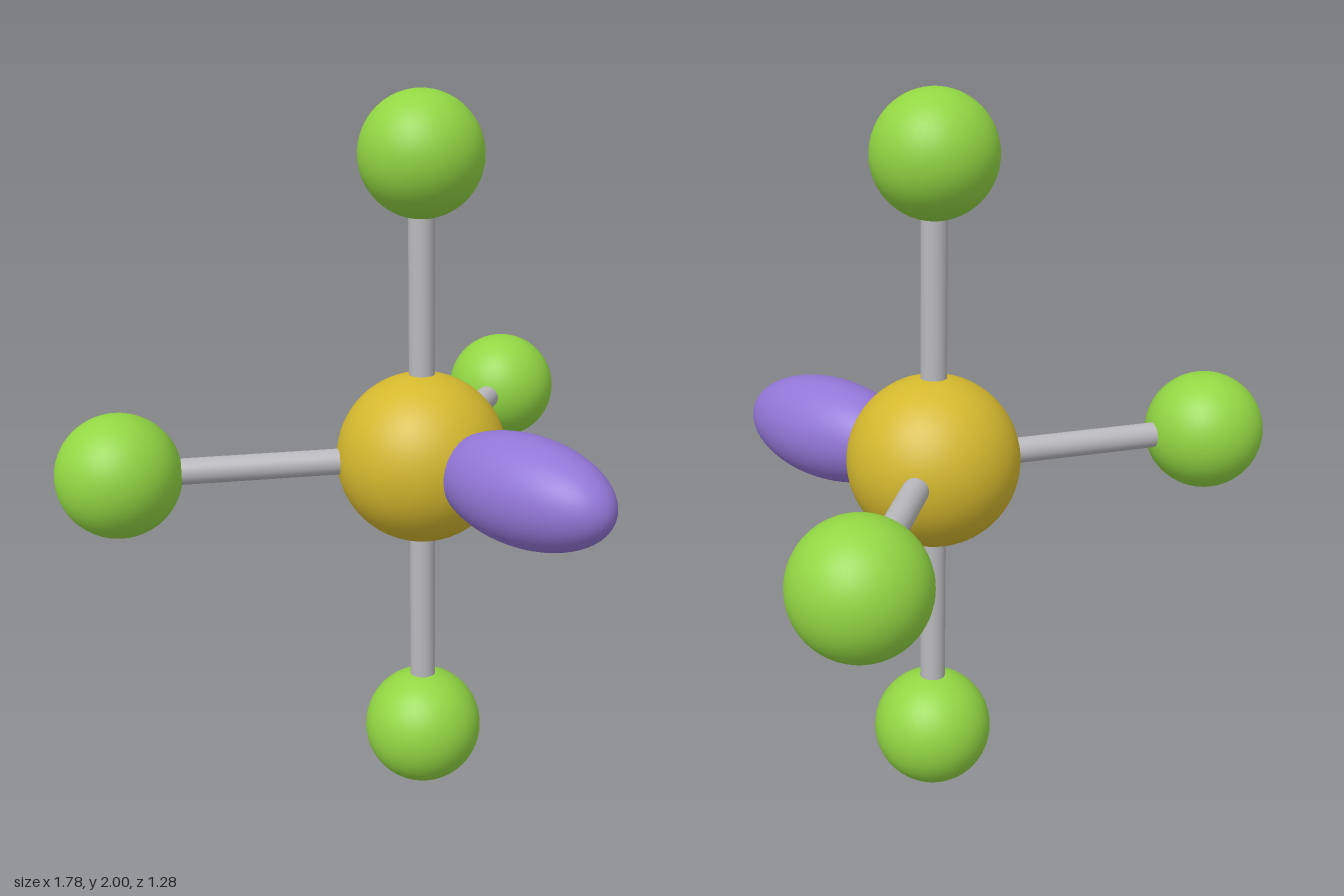
import * as THREE from 'three';

const material = (name, color) => {
  const m = new THREE.MeshStandardMaterial({ color });
  m.name = name;
  return m;
};

export function createModel() {
  const gold = material('gold', 0xd4b82e);
  const green = material('green', 0x92d643);
  const purple = material('purple', 0x9276d6);
  const grey = material('grey', 0xb9b9bd);

  const model = new THREE.Group();
  model.name = 'molecule';
  const center = new THREE.Vector3(0, 1, -0.055);
  const bondLength = 0.831;
  const up = new THREE.Vector3(0, 1, 0);

  const add = (name, geometry, mat, position) => {
    const mesh = new THREE.Mesh(geometry, mat);
    mesh.name = name;
    mesh.position.copy(position);
    model.add(mesh);
    return mesh;
  };

  // Central atom
  add('centralAtom', new THREE.SphereGeometry(0.239, 64, 40), gold, center);

  // Outer atoms with their bonds: two axial, two equatorial at 120 degrees
  const atomGeometry = new THREE.SphereGeometry(0.169, 48, 32);
  const bondGeometry = new THREE.CylinderGeometry(0.036, 0.036, bondLength, 32);
  const s = Math.sin(Math.PI / 3);
  const directions = {
    top: [0, 1, 0],
    bottom: [0, -1, 0],
    left: [s, 0, -0.5],
    right: [-s, 0, -0.5],
  };
  for (const [side, d] of Object.entries(directions)) {
    const dir = new THREE.Vector3(...d);
    const at = (distance) => center.clone().addScaledVector(dir, distance);
    add(side + 'Atom', atomGeometry, green, at(bondLength));
    add(side + 'Bond', bondGeometry, grey, at(bondLength / 2)).quaternion.setFromUnitVectors(up, dir);
  }

  // Lone pair: an ellipsoid lobe pointing forward
  const lobe = new THREE.SphereGeometry(1, 64, 40).rotateX(Math.PI / 2).scale(0.148, 0.148, 0.292);
  add('lonePairLobe', lobe, purple, new THREE.Vector3(0, 1, 0.347));

  return model;
}
